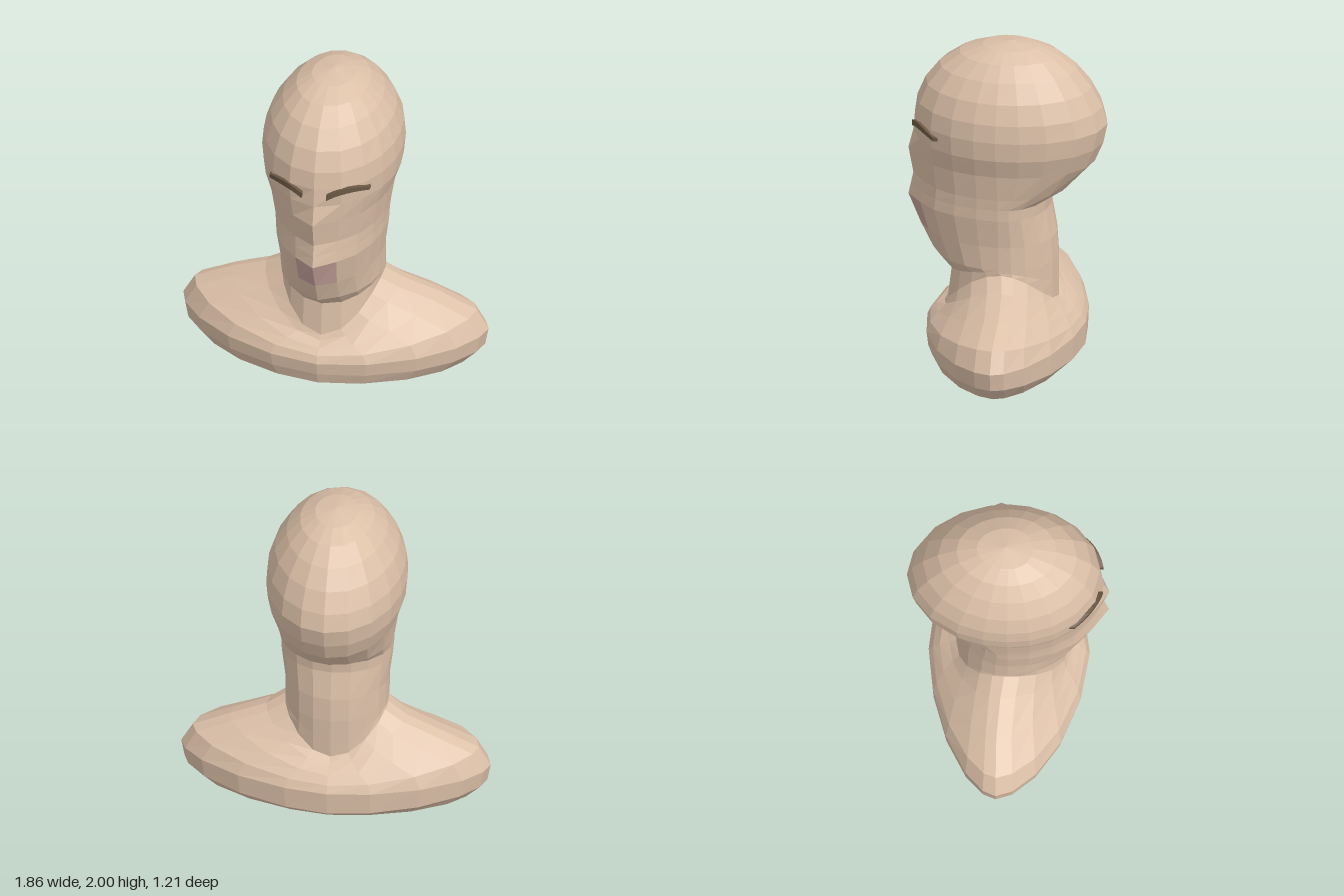
import * as THREE from 'three';

const skin = new THREE.MeshStandardMaterial({ color: 0xdcc0a8 });
skin.name = 'skin';
const lip = new THREE.MeshStandardMaterial({ color: 0xc6a29c });
lip.name = 'lip';
const brow = new THREE.MeshStandardMaterial({ color: 0x6b5844 });
brow.name = 'brow';

// Ring angles: 0 is the front centre, mirrored for the other side
const half = [0, 22, 42, 60, 76, 90, 104, 120, 140, 160, 180];
const angles = [...half, ...half.slice(1, -1).reverse().map(a => 360 - a)];
const N = angles.length;

// One cross-section: half width w, front/back depth zf/zb, side height y,
// front/back heights yf/yb, ridge on the centre line, superellipse power p
function ringPoints({ y, yf = y, yb = y, w, zf, zb, zc = 0, ridge = 0, p = 2 }) {
  const bend = v => Math.sign(v) * Math.pow(Math.abs(v), 2 / p);
  return angles.map((deg, i) => {
    const t = deg * Math.PI / 180, c = Math.cos(t), s = Math.sin(t);
    const front = c >= 0;
    const z = zc + Math.abs(bend(c)) * ((front ? zf : zb) - zc) + (i === 0 ? ridge : 0);
    return [w * bend(s), y + ((front ? yf : yb) - y) * c * c, z];
  });
}

// Joins rings from top to bottom; keep() picks which faces to build
function loft(name, rings, material, keep = () => true) {
  const pts = rings.map(ringPoints);
  const index = [];
  for (let r = 0; r < rings.length - 1; r++) {
    for (let i = 0; i < N; i++) {
      if (!keep(r, i)) continue;
      const a = r * N + i, b = r * N + (i + 1) % N;
      const c = b + N, d = a + N;
      if (rings[r + 1].w > 0) index.push(d, c, b);
      else index.push(d, b, a);
      if (rings[r].w > 0 && rings[r + 1].w > 0) index.push(d, b, a);
    }
  }
  const geo = new THREE.BufferGeometry();
  geo.setAttribute('position', new THREE.Float32BufferAttribute(pts.flat(2), 3));
  geo.setIndex(index);
  const flat = geo.toNonIndexed();
  flat.computeVertexNormals();
  const mesh = new THREE.Mesh(flat, material);
  mesh.name = name;
  return mesh;
}

const jaw = { y: 0.63, w: 0.31, zf: 0.42, zb: -0.31, ridge: 0.03 };
const collar = { y: 0.6, yf: 0.32, yb: 0.37, w: 0.31, zf: 0.36, zb: -0.31, zc: -0.02 };

const headRings = [
  { y: 2.0, w: 0, zf: -0.02, zb: -0.02, zc: -0.02 },
  { y: 1.975, w: 0.13, zf: 0.15, zb: -0.19 },
  { y: 1.925, w: 0.22, zf: 0.29, zb: -0.31 },
  { y: 1.84, w: 0.3, zf: 0.41, zb: -0.42 },
  { y: 1.73, w: 0.37, zf: 0.495, zb: -0.51 },
  { y: 1.61, w: 0.41, zf: 0.545, zb: -0.575 },
  { y: 1.5, w: 0.42, zf: 0.56, zb: -0.605 },
  { y: 1.38, w: 0.41, zf: 0.55, zb: -0.58, ridge: 0.02 },
  { y: 1.26, w: 0.37, zf: 0.545, zb: -0.53, ridge: 0.055 },
  { y: 1.1, w: 0.345, zf: 0.525, zb: -0.38, ridge: 0.045 },
  { y: 1.03, w: 0.338, zf: 0.535, zb: -0.27, ridge: 0.05 },
  { y: 0.96, w: 0.335, zf: 0.545, zb: -0.265, ridge: 0.055 },
  { y: 0.78, w: 0.312, zf: 0.49, zb: -0.3, ridge: 0.035 },
  jaw,
];

const neckRings = [
  jaw,
  { y: 0.615, yf: 0.53, yb: 0.5, w: 0.31, zf: 0.335, zb: -0.31 },
  collar,
];

const chest = { zc: -0.06, p: 1.68 };
const shoulderRings = [
  collar,
  { y: 0.53, yf: 0.29, yb: 0.34, w: 0.42, zf: 0.38, zb: -0.35, zc: -0.04, p: 1.85 },
  { ...chest, y: 0.445, yf: 0.265, yb: 0.3, w: 0.64, zf: 0.43, zb: -0.41 },
  { ...chest, y: 0.345, yf: 0.235, yb: 0.255, w: 0.86, zf: 0.465, zb: -0.45 },
  { ...chest, y: 0.22, yf: 0.19, yb: 0.21, w: 0.93, zf: 0.485, zb: -0.475 },
  { ...chest, y: 0.11, yf: 0.11, yb: 0.065, w: 0.91, zf: 0.475, zb: -0.47 },
  { ...chest, y: 0.02, yf: 0.04, yb: 0.02, w: 0.82, zf: 0.455, zb: -0.42 },
  { ...chest, y: 0, w: 0.74, zf: 0.36, zb: -0.32 },
  { y: 0, w: 0, zf: 0, zb: 0 },
];

// Arched brow wrapped around the forehead
function eyebrow(side) {
  const geo = new THREE.BoxGeometry(0.23, 0.036, 0.04, 6, 1, 1);
  const pos = geo.attributes.position;
  for (let i = 0; i < pos.count; i++) {
    const x = pos.getX(i) + side * 0.19;
    const u = (Math.abs(x) - 0.19) / 0.115;
    const taper = u > 0 ? 1 - 0.35 * u : 1;
    const y = 1.487 - 0.036 * u * u + pos.getY(i) * taper;
    const z = 0.56 * Math.sqrt(1 - (x / 0.42) ** 2) + pos.getZ(i) - 0.005;
    pos.setXYZ(i, x, y, z);
  }
  const flat = geo.toNonIndexed();
  flat.computeVertexNormals();
  const mesh = new THREE.Mesh(flat, brow);
  mesh.name = side > 0 ? 'leftEyebrow' : 'rightEyebrow';
  return mesh;
}

export function createModel() {
  const group = new THREE.Group();
  group.name = 'bust';
  // The mouth is the two central faces of one row of the head
  const isMouth = (r, i) => r === 11 && (i === 0 || i === N - 1);
  group.add(
    loft('head', headRings, skin, (r, i) => !isMouth(r, i)),
    loft('mouth', headRings, lip, isMouth),
    loft('neck', neckRings, skin),
    loft('shoulders', shoulderRings, skin),
    eyebrow(1),
    eyebrow(-1),
  );
  return group;
}
